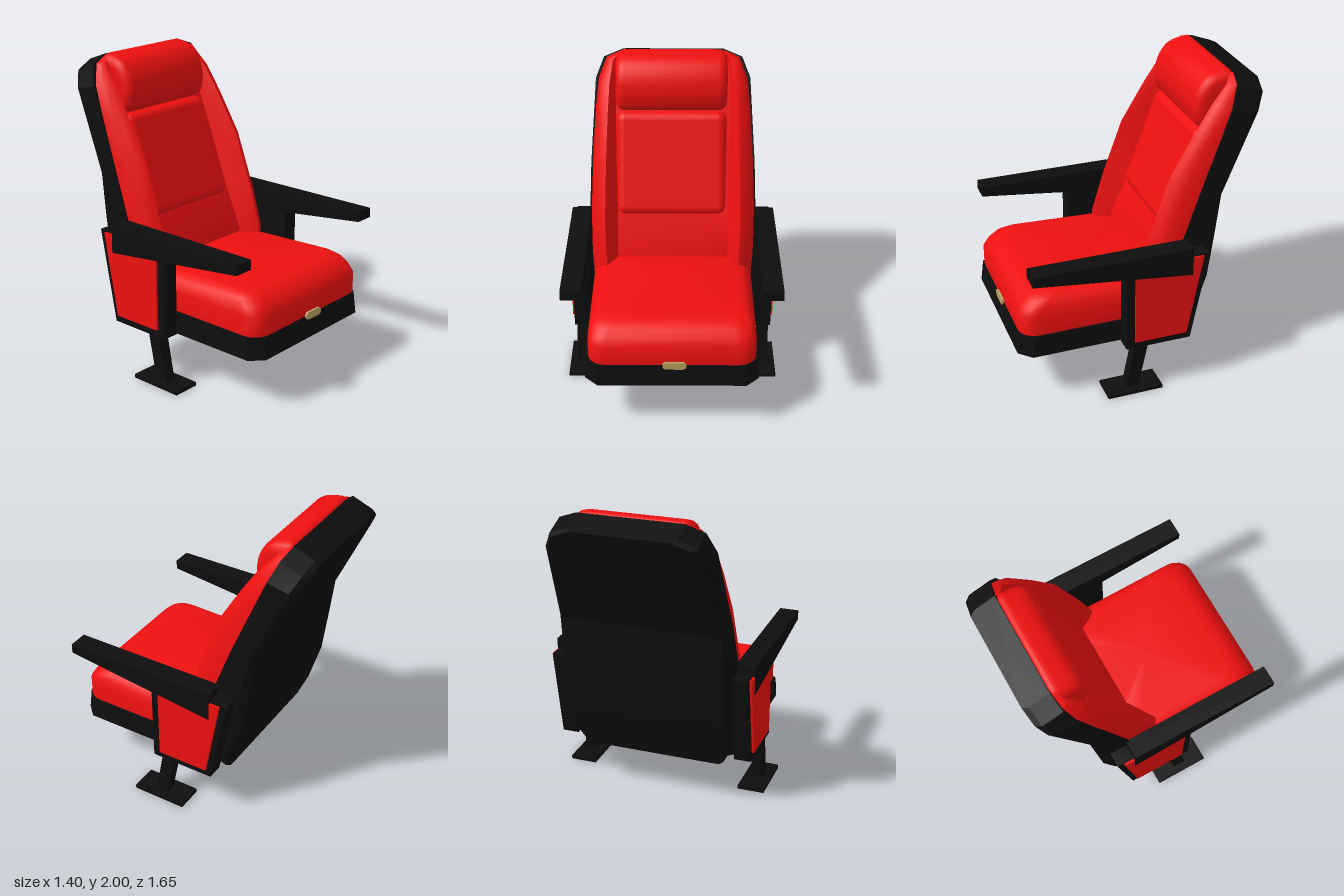
import * as THREE from 'three';
import { toCreasedNormals } from 'three/addons/utils/BufferGeometryUtils.js';
import { RoundedBoxGeometry } from 'three/addons/geometries/RoundedBoxGeometry.js';

const red = new THREE.MeshStandardMaterial({ color: 0xee1010, side: THREE.DoubleSide });
const black = new THREE.MeshStandardMaterial({ color: 0x0e0e0e, side: THREE.DoubleSide });
const gold = new THREE.MeshStandardMaterial({ color: 0xb8a060 });

function mesh(name, geometry, material) {
  const m = new THREE.Mesh(geometry, material);
  m.name = name;
  return m;
}

// Skin a stack of [x, y, z] rows; closed rows get fan caps at both ends
function loft(rows, closed, crease) {
  const n = rows[0].length, pos = rows.flat(2), idx = [];
  for (let i = 0; i < rows.length - 1; i++) {
    for (let j = 0; j < (closed ? n : n - 1); j++) {
      const a = i * n + j, b = i * n + (j + 1) % n;
      idx.push(a, b, b + n, a, b + n, a + n);
    }
  }
  if (closed) {
    for (const [i, up] of [[0, false], [rows.length - 1, true]]) {
      const c = pos.length / 3;
      for (let k = 0; k < 3; k++) pos.push(rows[i].reduce((s, p) => s + p[k], 0) / n);
      for (let j = 0; j < n; j++) {
        const a = i * n + j, b = i * n + (j + 1) % n;
        idx.push(c, up ? a : b, up ? b : a);
      }
    }
  }
  const g = new THREE.BufferGeometry();
  g.setAttribute('position', new THREE.Float32BufferAttribute(pos, 3));
  g.setIndex(idx);
  return toCreasedNormals(g, crease);
}

// Extrude a [z, y] side profile across x, centred on cx
function sideExtrude(points, cx, width, bevel = 0, segments = 1) {
  const shape = new THREE.Shape(points.map(([z, y]) => new THREE.Vector2(-z, y)));
  const g = new THREE.ExtrudeGeometry(shape, {
    depth: width - 2 * bevel, bevelEnabled: bevel > 0, bevelSize: bevel,
    bevelThickness: bevel, bevelOffset: -bevel, bevelSegments: segments,
  });
  g.translate(0, 0, bevel - width / 2).rotateY(Math.PI / 2).translate(cx, 0, 0);
  return toCreasedNormals(g, 0.6);
}

// Horizontal rounded-rectangle ring, from front round to the back
function ring(y, w, zFront, zBack, r, steps) {
  const pts = [];
  const corners = [[w - r, zFront - r], [w - r, zBack + r], [r - w, zBack + r], [r - w, zFront - r]];
  corners.forEach(([cx, cz], q) => {
    for (let k = 0; k <= steps; k++) {
      const a = (q + k / steps) * Math.PI / 2;
      pts.push([cx + r * Math.sin(a), y, cz + r * Math.cos(a)]);
    }
  });
  return pts;
}

export function createModel() {
  const chair = new THREE.Group();
  chair.name = 'cinemaSeat';

  // Back shell: half width, front edge (z, y), rear edge (z, y)
  const shell = [
    [0.48, -0.20, 0.33, -0.30, 0.29], [0.545, -0.20, 0.42, -0.35, 0.42],
    [0.56, -0.20, 0.72, -0.43, 0.69], [0.56, -0.25, 1.00, -0.47, 0.98],
    [0.55, -0.36, 1.30, -0.51, 1.26], [0.515, -0.57, 1.82, -0.75, 1.78],
    [0.46, -0.625, 1.95, -0.80, 1.88], [0.34, -0.645, 1.995, -0.82, 1.93],
  ].map(([w, zf, yf, zb, yb]) => {
    const ym = yf + (yb - yf) * 0.8, zm = zf + (zb - zf) * 0.8, v = w - 0.025;
    return [[-w, yf, zf], [w, yf, zf], [w, ym, zm], [v, yb, zb], [-v, yb, zb], [-w, ym, zm]];
  });
  chair.add(mesh('backShell', loft(shell, true, 0.2), black));

  // Upholstered back with side bolsters: y, outer/ridge/inner half widths, outer/ridge/inner z
  const bolsters = [
    [0.50, 0.54, 0.44, 0.37, -0.20, 0.02, -0.07], [0.75, 0.55, 0.44, 0.37, -0.20, 0.02, -0.10],
    [1.00, 0.55, 0.45, 0.37, -0.25, -0.06, -0.21], [1.38, 0.535, 0.44, 0.38, -0.39, -0.19, -0.365],
    [1.65, 0.515, 0.43, 0.38, -0.50, -0.35, -0.475], [1.82, 0.495, 0.42, 0.38, -0.57, -0.46, -0.55],
    [1.95, 0.44, 0.40, 0.36, -0.62, -0.57, -0.60], [1.99, 0.34, 0.33, 0.32, -0.64, -0.62, -0.63],
  ].map(([y, wo, wr, wi, zo, zr, zi]) => {
    const half = [
      [wo, zo], [wo - 0.01, zo + (zr - zo) * 0.5], [wr + (wo - wr) * 0.5, zo + (zr - zo) * 0.87],
      [wr, zr], [(wr + wi) / 2, zr + (zi - zr) * 0.4], [wi, zi],
    ];
    return [
      ...half.map(([x, z]) => [-x, y, z]),
      [0, y, zi],
      ...half.reverse().map(([x, z]) => [x, y, z]),
    ];
  });
  chair.add(mesh('backUpholstery', loft(bolsters, false, 0.7), red));

  // Padded panel in the middle of the back
  const pad = mesh('backPad', new RoundedBoxGeometry(0.74, 0.70, 0.16, 4, 0.06), red);
  pad.position.set(-0.01, 1.29, -0.37);
  pad.rotation.x = -0.35;
  chair.add(pad);

  // Headrest roll
  const roll = new THREE.SplineCurve([
    [-0.39, 1.77], [-0.41, 1.87], [-0.47, 1.96], [-0.56, 1.995], [-0.64, 1.99],
    [-0.66, 1.85], [-0.58, 1.67], [-0.48, 1.635], [-0.41, 1.67], [-0.39, 1.77],
  ].map(([z, y]) => new THREE.Vector2(z, y)));
  const rollPoints = roll.getPoints(36).slice(0, -1).map(p => [p.x, p.y]);
  chair.add(mesh('headrest', sideExtrude(rollPoints, -0.01, 0.74, 0.06, 4), red));

  // Seat cushion: y, side inset, front inset
  const cushion = [
    [0.47, 0, 0], [0.61, 0, 0], [0.66, 0.012, 0.03], [0.70, 0.03, 0.07],
    [0.725, 0.06, 0.12], [0.735, 0.10, 0.18],
  ].map(([y, sx, sz]) => ring(y, 0.53 - sx, 0.81 - sz, -0.22, 0.11, 5));
  // The top falls slightly toward the back
  for (const p of cushion.flat()) if (p[1] > 0.65 && p[2] < 0) p[1] -= 0.025;
  chair.add(mesh('seatCushion', loft(cushion, true, 0.8), red));

  // Seat pan with chamfered corners
  const pan = [ring(0.335, 0.55, 0.83, -0.28, 0.08, 1), ring(0.48, 0.545, 0.812, -0.28, 0.08, 1)];
  chair.add(mesh('seatPan', loft(pan, true, 0.2), black));

  // Number plate on the front of the pan
  const plateShape = new THREE.Shape();
  plateShape.absarc(0.05, 0, 0.025, -Math.PI / 2, Math.PI / 2);
  plateShape.absarc(-0.05, 0, 0.025, Math.PI / 2, Math.PI * 1.5);
  const plate = mesh('frontPlate', new THREE.ExtrudeGeometry(plateShape, { depth: 0.02, bevelEnabled: false }), gold);
  plate.position.set(0.015, 0.48, 0.805);
  chair.add(plate);

  // Armrest, side panel and leg on each side
  for (const [s, label] of [[1, 'left'], [-1, 'right']]) {
    const side = new THREE.Group();
    side.name = label + 'Side';
    side.add(mesh('armrest', sideExtrude(
      [[0.77, 1.0], [0.77, 0.935], [0.16, 0.862], [-0.27, 0.81], [-0.27, 1.0]], s * 0.615, 0.13), black));
    side.add(mesh('sidePanel', sideExtrude(
      [[0.165, 0.33], [0.165, 0.88], [-0.27, 0.94], [-0.39, 0.94], [-0.27, 0.33]], s * 0.605, 0.11), black));
    side.add(mesh('sidePanelInset', sideExtrude(
      [[0.11, 0.38], [0.11, 0.87], [-0.27, 0.93], [-0.345, 0.93], [-0.24, 0.38]], s * 0.665, 0.02), red));
    side.add(mesh('leg', sideExtrude(
      [[0.10, 0.36], [0.01, 0.36], [0.08, 0.02], [0.165, 0.02]], s * 0.613, 0.075), black));
    const foot = mesh('foot', new THREE.BoxGeometry(0.18, 0.025, 0.37), black);
    foot.position.set(s * 0.61, 0.0125, 0.115);
    side.add(foot);
    chair.add(side);
  }
  return chair;
}
